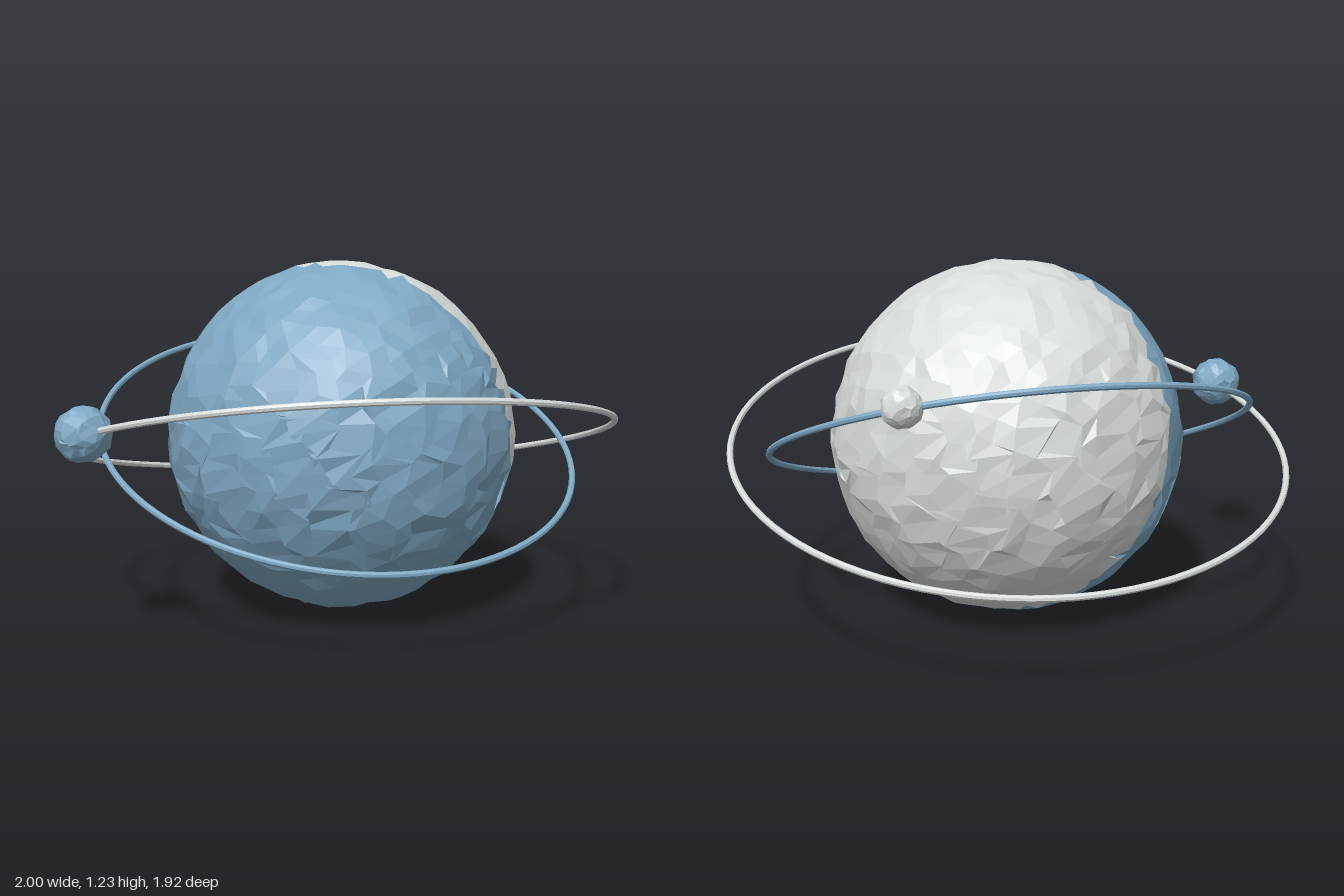
import * as THREE from 'three';

const blue = new THREE.MeshStandardMaterial({ name: 'dustyBlue', color: 0x7fa8c3, flatShading: true });
const pale = new THREE.MeshStandardMaterial({ name: 'paleGrey', color: 0xd6dcda, flatShading: true });

// Repeatable value in -1..1 that depends on a position only, so shared corners stay joined
function noise(v, seed) {
  const r = (n) => Math.round(n * 2000) / 2000;
  const s = Math.sin(r(v.x) * 127.1 + r(v.y) * 311.7 + r(v.z) * 74.7 + seed * 53.3) * 43758.5453;
  return (s - Math.floor(s)) * 2 - 1;
}

// Faceted ball whose vertices slide along a rising spiral direction, giving overlapping shards
function rockyBall(radius, detail, slide, bump) {
  const geometry = new THREE.IcosahedronGeometry(1, detail);
  const pos = geometry.attributes.position;
  const v = new THREE.Vector3();
  for (let i = 0; i < pos.count; i++) {
    v.fromBufferAttribute(pos, i);
    const band = 1 - THREE.MathUtils.smoothstep(Math.abs(v.y + 0.1), 0.3, 0.8) * 0.8;
    const east = new THREE.Vector3(v.z, 0, -v.x);
    const north = new THREE.Vector3(0, 1, 0).addScaledVector(v, -v.y);
    const shift = noise(v, 1) * slide * band;
    const size = radius * (1 + noise(v, 2) * bump);
    v.addScaledVector(east, shift).addScaledVector(north, shift * 0.45).normalize().multiplyScalar(size);
    pos.setXYZ(i, v.x, v.y, v.z);
  }
  geometry.deleteAttribute('uv');
  geometry.computeVertexNormals();
  return geometry;
}

// Keep only the triangles whose centre passes the test
function pickFaces(geometry, test) {
  const p = geometry.attributes.position;
  const kept = [];
  const c = [0, 1, 2].map(() => new THREE.Vector3());
  for (let i = 0; i < p.count; i += 3) {
    c.forEach((corner, k) => corner.fromBufferAttribute(p, i + k));
    const mid = c[0].clone().add(c[1]).add(c[2]).divideScalar(3);
    if (test(mid)) c.forEach((corner) => kept.push(corner.x, corner.y, corner.z));
  }
  const out = new THREE.BufferGeometry();
  out.setAttribute('position', new THREE.Float32BufferAttribute(kept, 3));
  out.computeVertexNormals();
  return out;
}

export function createModel() {
  const model = new THREE.Group();
  model.name = 'planetWithOrbits';

  const add = (name, geometry, material, x, y, z, parent = model) => {
    const mesh = new THREE.Mesh(geometry, material);
    mesh.name = name;
    mesh.position.set(x, y, z);
    parent.add(mesh);
    return mesh;
  };

  // Planet, split in two colours along a slanted plane
  const planet = new THREE.Group();
  planet.name = 'planet';
  planet.position.set(0.046, 0.62, 0);
  model.add(planet);
  const ball = rockyBall(0.613, 10, 0.1, 0.012);
  const onPaleSide = (p) => p.x + 0.27 * p.y - 0.32 * p.z > 0.075;
  add('planetPaleHalf', pickFaces(ball, onPaleSide), pale, 0, 0, 0, planet);
  add('planetBlueHalf', pickFaces(ball, (p) => !onPaleSide(p)), blue, 0, 0, 0, planet);

  // Thin orbit rings, each tilted to its own axis
  const orbits = [
    { name: 'outerOrbit', radius: 0.97, material: pale, at: [0.032, 0.6, 0], axis: [0.17, 1, -0.21] },
    { name: 'innerOrbit', radius: 0.842, material: blue, at: [0.035, 0.617, -0.005], axis: [-0.219, 1, 0.34] },
  ];
  for (const o of orbits) {
    const ring = add(o.name, new THREE.TorusGeometry(o.radius, 0.011, 8, 96), o.material, ...o.at);
    ring.quaternion.setFromUnitVectors(new THREE.Vector3(0, 0, 1), new THREE.Vector3(...o.axis).normalize());
  }

  // Small moons riding on the orbits
  add('blueMoon', rockyBall(0.091, 3, 0.2, 0.05), blue, -0.907, 0.704, -0.267);
  add('paleMoon', rockyBall(0.064, 3, 0.2, 0.05), pale, 0.81, 0.874, -0.25);

  return model;
}
